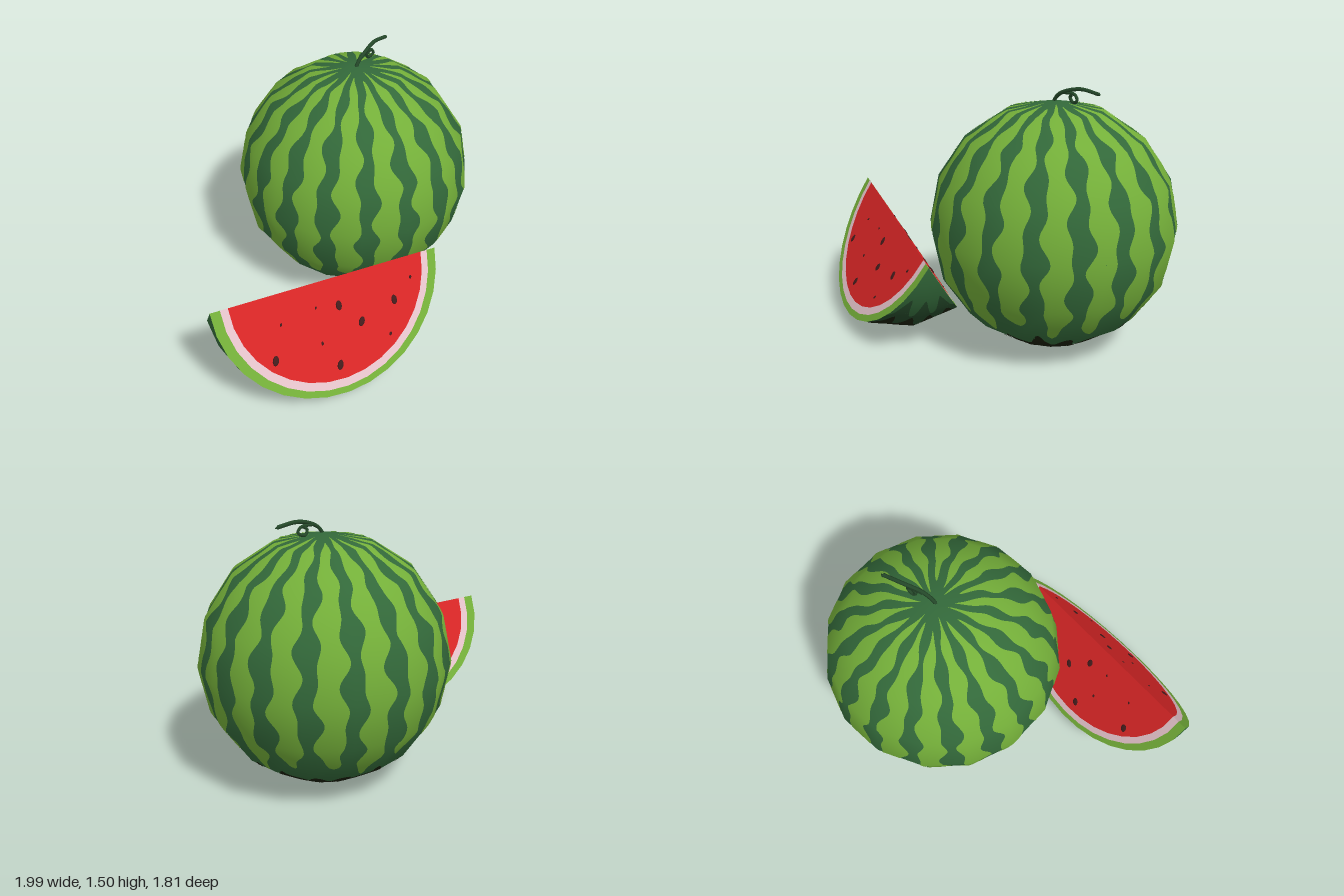
import * as THREE from 'three';

const D = Math.PI / 180;
const mat = (name, color, side = THREE.FrontSide) =>
  Object.assign(new THREE.MeshStandardMaterial({ color, side }), { name });

// Turns a smooth surface fn(u, v) into flat cells with corners at whole u, v
function faceted(fn) {
  return (u, v, lift = 1) => {
    const i = Math.floor(u + 1e-6), j = Math.floor(v + 1e-6);
    const top = fn(i, j).lerp(fn(i + 1, j), u - i);
    const low = fn(i, j + 1).lerp(fn(i + 1, j + 1), u - i);
    return top.lerp(low, v - j).multiplyScalar(lift);
  };
}

// Grid over fn(a, b), a and b in 0..1, with normals pointing away from the centre
function grid(nu, nv, fn) {
  const pos = [], nor = [], index = [];
  for (let j = 0; j <= nv; j++) for (let i = 0; i <= nu; i++) {
    const p = fn(i / nu, j / nv);
    pos.push(p.x, p.y, p.z);
    p.normalize();
    nor.push(p.x, p.y, p.z);
    if (i < nu && j < nv) {
      const a = j * (nu + 1) + i, b = a + nu + 1;
      index.push(a, b, a + 1, a + 1, b, b + 1);
    }
  }
  const g = new THREE.BufferGeometry();
  g.setAttribute('position', new THREE.Float32BufferAttribute(pos, 3));
  g.setAttribute('normal', new THREE.Float32BufferAttribute(nor, 3));
  g.setIndex(index);
  return g;
}

function add(parent, name, geometry, material) {
  const m = new THREE.Mesh(geometry, material);
  m.name = name;
  parent.add(m);
  return m;
}

export function createModel() {
  const darkGreen = mat('dark green rind', 0x33693a);
  const lightGreen = mat('light green rind', 0x74af39);
  const black = mat('blackish underside', 0x1b200b);
  const deepGreen = mat('deep green', 0x25492a);
  const red = mat('red flesh', 0xd92626);
  const pale = mat('pale rind', 0xe6c3cb);
  const seedBrown = mat('seed', 0x431c1c);

  const model = new THREE.Group();
  model.name = 'watermelon';

  // Whole melon: 16 by 8 sphere
  const melon = new THREE.Group();
  melon.name = 'wholeMelon';
  melon.position.set(0.287, 0.703, -0.2);
  model.add(melon);
  const R = 0.706, STEP = 22.5, TURN = -3.6;
  const ball = faceted((i, j) => {
    const az = (i * STEP + TURN) * D, phi = j * STEP * D;
    return new THREE.Vector3(Math.sin(az) * Math.sin(phi), Math.cos(phi), Math.cos(az) * Math.sin(phi)).multiplyScalar(R);
  });
  const onBall = (az, phi, lift) => ball((az - TURN) / STEP, Math.min(phi, 179.99) / STEP, lift);
  add(melon, 'melonBody', grid(16, 8, (a, b) => ball(a * 16, b * 8)), darkGreen);

  // Scalloped light stripes
  const COUNT = 18, PERIOD = 360 / COUNT;
  for (let k = 0; k < COUNT; k++) {
    const start = 6 + 3 * (k % 3), end = 130 + 5 * Math.sin(k * 2.3);
    add(melon, 'lightStripe', grid(10, 96, (a, b) => {
      const phi = start + (end - start) * b;
      const ends = Math.min(1, Math.sqrt(b * 8), Math.sqrt((1 - b) * 12));
      const half = (0.285 + 0.065 * Math.sin(phi * D * 20 + k * 1.7)) * ends;
      const sway = 0.07 * Math.sin(phi * D * 13 + k * 2.1);
      return onBall(6.5 + (k + sway + (a * 2 - 1) * half) * PERIOD, phi, 1.004);
    }), lightGreen);
  }

  // Dark underside with fingers running up between the stripes
  add(melon, 'darkUnderside', grid(216, 24, (a, b) => {
    const az = a * 360;
    const edge = 142 + 8 * Math.cos((az - 6.5) / PERIOD * Math.PI * 2) + 2.5 * Math.sin(az * 5 * D);
    return onBall(az, edge + (180 - edge) * b, 1.005);
  }), black);

  // Stem and its curl
  const tube = (name, pts, r) => add(model, name, new THREE.TubeGeometry(
    new THREE.CatmullRomCurve3(pts.map(p => new THREE.Vector3(...p))), 20, r, 6), deepGreen);
  tube('stem', [[0.28, 1.39, -0.19], [0.31, 1.435, -0.2], [0.36, 1.465, -0.22], [0.45, 1.487, -0.27], [0.56, 1.475, -0.315]], 0.011);
  tube('stemCurl', [[0.35, 1.458, -0.22], [0.42, 1.455, -0.25], [0.44, 1.425, -0.255], [0.4, 1.41, -0.25], [0.385, 1.44, -0.24], [0.41, 1.455, -0.245]], 0.009);
  const tip = add(model, 'stemTip', new THREE.ConeGeometry(0.011, 0.02, 6), deepGreen);
  tip.position.set(0.566, 1.472, -0.318);
  tip.rotation.z = -100 * D;

  // Slice: a wedge hanging below a tilted straight edge
  const slice = new THREE.Group();
  slice.name = 'slice';
  const TILT = 6 * D, HALF = 30.8 * D, A = 0.692, B = 0.643, SEG = 16;
  slice.position.set(-0.31, 0.643, 0.573);
  slice.rotation.z = -TILT;
  model.add(slice);
  const skin = faceted((i, j) => {
    const t = i / SEG * Math.PI, s = (j - 1) * HALF;
    return new THREE.Vector3(A * Math.cos(t), -B * Math.sin(t) * Math.cos(s), B * Math.sin(t) * Math.sin(s));
  });
  add(slice, 'sliceSkin', grid(SEG, 2, (a, b) => skin(a * SEG, b * 2)), darkGreen);

  // Darker patches on the skin, fingered toward both ends
  const patch = (name, material, right, left, amp, fingers, lift) =>
    add(slice, name, grid(80, 40, (a, b) => {
      const wave = amp * Math.cos(b * Math.PI * 2 * fingers);
      const from = right + wave, to = 180 - left - wave;
      return skin((from + (to - from) * a) / 180 * SEG, b * 2, lift);
    }), material);
  patch('deepSkinPatch', deepGreen, 29, 36, 8, 3, 1.003);
  patch('darkSkinPatch', black, 45, 56, 7, 4, 1.006);

  // Half ellipse band; inner axes of zero give a solid half disc
  const arc = (a, b) => Array.from({ length: SEG + 1 }, (_, i) => {
    const t = i / SEG * Math.PI;
    return new THREE.Vector2(a * Math.cos(t), -b * Math.sin(t));
  });
  const band = (a, b, ia, ib) => new THREE.ShapeGeometry(
    new THREE.Shape(ia ? [...arc(a, b), ...arc(ia, ib).reverse()] : arc(a, b)));
  // Seeds: x, y, size
  const seeds = [[-0.73, 0.39, 1], [-0.3, 0.505, 1], [-0.19, 0.385, 1], [-0.38, 0.235, 1], [0.04, 0.415, 1],
    [-0.65, 0.535, 0.35], [-0.435, 0.54, 0.3], [-0.45, 0.37, 0.4], [0.175, 0.485, 0.4], [-0.035, 0.265, 0.4]];

  // Two cut faces, front and back
  for (const side of [1, -1]) {
    const face = new THREE.Group();
    face.name = side > 0 ? 'frontCutFace' : 'backCutFace';
    face.rotation.set(-side * HALF, side > 0 ? 0 : Math.PI, 0);
    slice.add(face);
    add(face, 'greenRim', band(A, B, 0.637, 0.608), lightGreen);
    add(face, 'paleRim', band(0.637, 0.608, 0.594, 0.562), pale);
    add(face, 'flesh', band(0.594, 0.562, 0, 0), red);
    seeds.forEach(([x, y, size], i) => {
      const dx = x + 0.31, dy = y - 0.643;
      const lx = dx * Math.cos(TILT) - dy * Math.sin(TILT);
      const ly = (dx * Math.sin(TILT) + dy * Math.cos(TILT)) / Math.cos(HALF);
      const seed = add(face, 'seed', new THREE.SphereGeometry(1, 7, 5), seedBrown);
      seed.scale.set(0.019 * size, 0.028 * size, 0.004);
      seed.position.set(side * lx, ly, 0.001);
      seed.rotation.z = side * (-0.25 + 0.3 * Math.sin(i * 2));
    });
  }
  return model;
}
